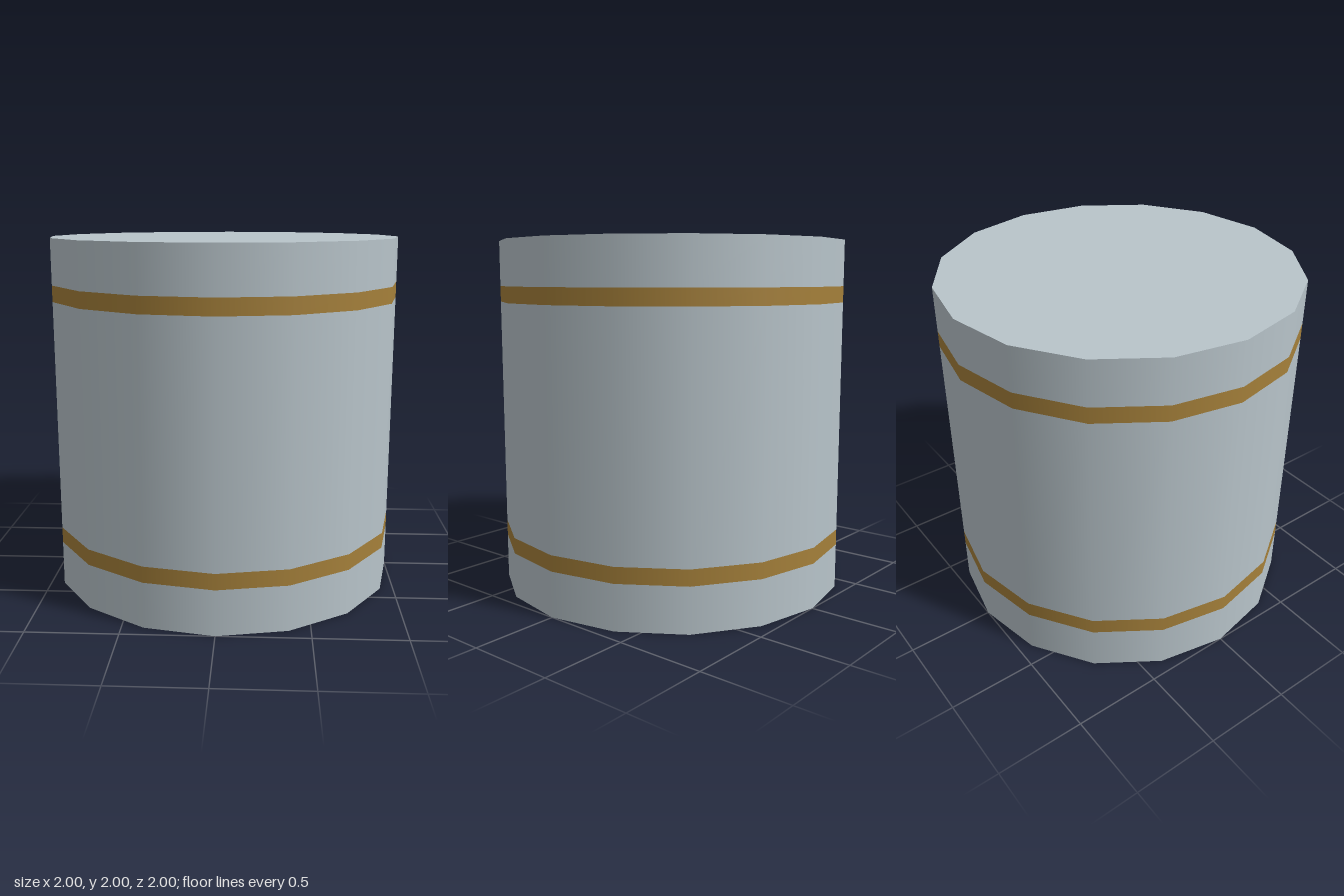
import * as THREE from 'three';

const SIDES = 16;
const RADIUS = 1;

export function createModel() {
  const group = new THREE.Group();
  group.name = 'bandedDrum';
  const shell = new THREE.MeshStandardMaterial({ color: 0xb8c4ca });
  const brass = new THREE.MeshStandardMaterial({ color: 0xa5803a });

  // Smooth side wall between two heights
  function addWall(name, y0, y1, material) {
    const geometry = new THREE.CylinderGeometry(RADIUS, RADIUS, y1 - y0, SIDES, 1, true);
    const mesh = new THREE.Mesh(geometry, material);
    mesh.name = name;
    mesh.position.y = (y0 + y1) / 2;
    group.add(mesh);
  }

  // Flat end disc, facing up or down
  function addCap(name, y, up) {
    const mesh = new THREE.Mesh(new THREE.CircleGeometry(RADIUS, SIDES), shell);
    mesh.name = name;
    mesh.rotation.x = up ? -Math.PI / 2 : Math.PI / 2;
    mesh.position.y = y;
    group.add(mesh);
  }

  // Drum wall with two flush bands
  addWall('lowerWall', 0, 0.255, shell);
  addWall('lowerBand', 0.255, 0.345, brass);
  addWall('middleWall', 0.345, 1.655, shell);
  addWall('upperBand', 1.655, 1.745, brass);
  addWall('upperWall', 1.745, 2, shell);

  // End discs
  addCap('topCap', 2, true);
  addCap('bottomCap', 0, false);

  return group;
}
